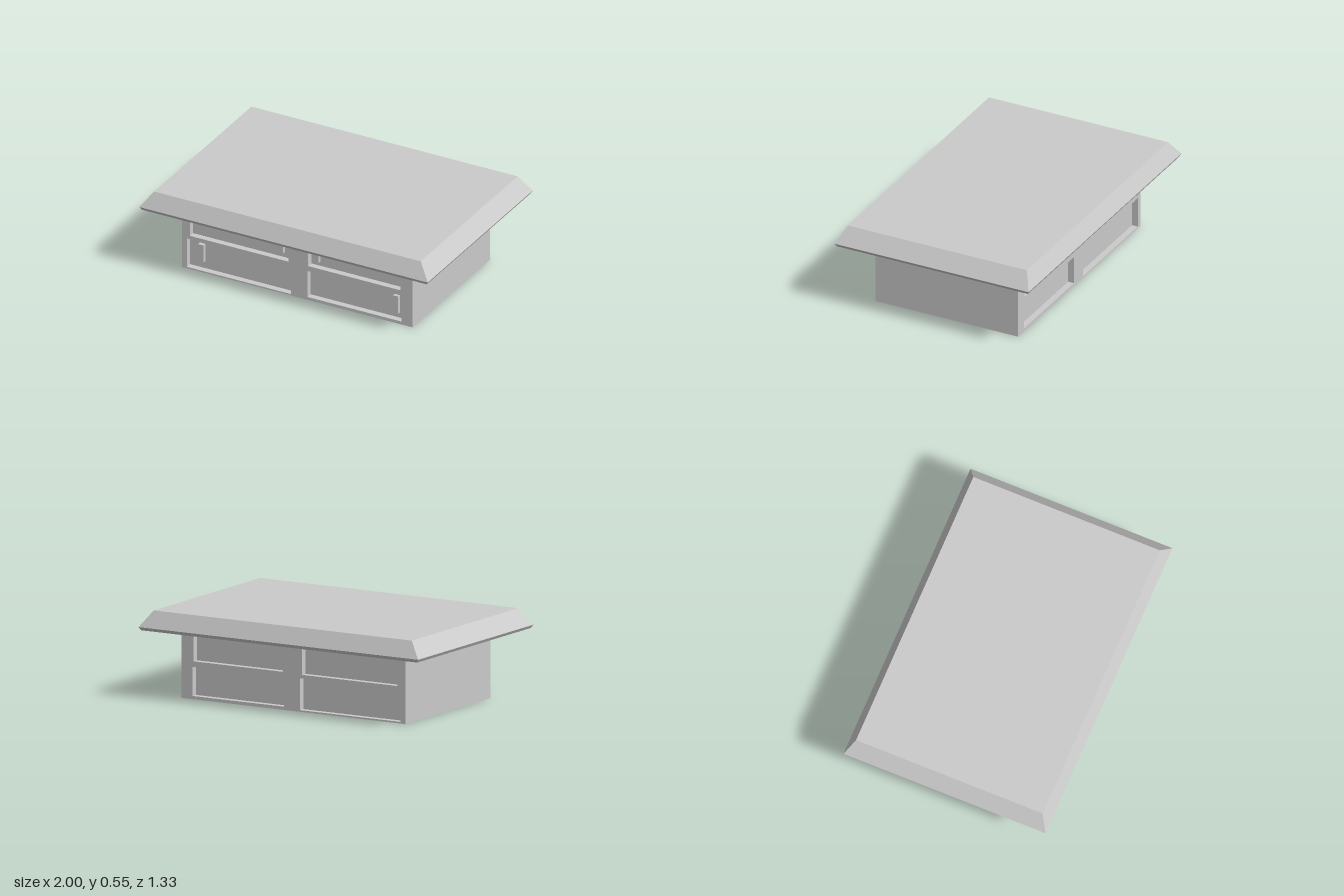
import * as THREE from 'three';

const material = new THREE.MeshStandardMaterial({ color: 0xcccccc, flatShading: true });

const BODY = { x: 0.8, z: 0.49, height: 0.435 };
const RECESS = 0.04;

// Each drawer: opening x0, x1, y0, y1 and the handle's centre
const DRAWERS = [
  { name: 'upperLeftSide', open: [-0.745, -0.06, 0.23, 0.415], handle: [-0.127, 0.325] },
  { name: 'upperRightSide', open: [0.075, 0.715, 0.235, 0.41], handle: [0.12, 0.325] },
  { name: 'lowerLeftSide', open: [-0.765, -0.045, 0.01, 0.207], handle: [-0.678, 0.118] },
  { name: 'lowerRightSide', open: [0.07, 0.722, 0.02, 0.2], handle: [0.673, 0.118] },
];

function addMesh(parent, name, geometry, x = 0, y = 0, z = 0) {
  const mesh = new THREE.Mesh(geometry, material);
  mesh.name = name;
  mesh.position.set(x, y, z);
  parent.add(mesh);
  return mesh;
}

function rectangle(path, x0, x1, y0, y1) {
  path.moveTo(x0, y0);
  path.lineTo(x1, y0);
  path.lineTo(x1, y1);
  path.lineTo(x0, y1);
  path.closePath();
  return path;
}

// Face frame with one opening per drawer
function frameGeometry() {
  const shape = rectangle(new THREE.Shape(), -BODY.x, BODY.x, 0, BODY.height);
  for (const d of DRAWERS) shape.holes.push(rectangle(new THREE.Path(), ...d.open));
  return new THREE.ExtrudeGeometry(shape, { depth: RECESS, bevelEnabled: false });
}

// Slab whose rows of corners taper to a bevelled top and a thin under-edge
function tableTopGeometry() {
  const rows = {
    '-1': { x: 0.988, y: 0.427, z: 0.656 },
    '0': { x: 1, y: 0.447, z: 0.666 },
    '1': { x: 0.923, y: 0.55, z: 0.615 },
  };
  const geometry = new THREE.BoxGeometry(2, 2, 2, 1, 2, 1);
  const p = geometry.attributes.position;
  for (let i = 0; i < p.count; i++) {
    const row = rows[Math.round(p.getY(i))];
    p.setXYZ(i, Math.sign(p.getX(i)) * row.x, row.y, Math.sign(p.getZ(i)) * row.z);
  }
  const flat = geometry.toNonIndexed();
  flat.computeVertexNormals();
  return flat;
}

export function createModel() {
  const group = new THREE.Group();
  group.name = 'coffeeTable';

  // Cabinet: solid core between a front and a back frame
  const coreDepth = BODY.z - RECESS;
  addMesh(group, 'cabinetCore', new THREE.BoxGeometry(BODY.x * 2, BODY.height, coreDepth * 2), 0, BODY.height / 2, 0);
  const frame = frameGeometry();
  addMesh(group, 'frontFrame', frame, 0, 0, coreDepth);
  addMesh(group, 'backFrame', frame, 0, 0, -BODY.z);

  // Handles sit inside the front recesses
  const handle = new THREE.BoxGeometry(0.036, 0.12, 0.03);
  for (const d of DRAWERS) addMesh(group, d.name + 'Handle', handle, d.handle[0], d.handle[1], coreDepth + 0.01);

  addMesh(group, 'tableTop', tableTopGeometry());
  return group;
}
